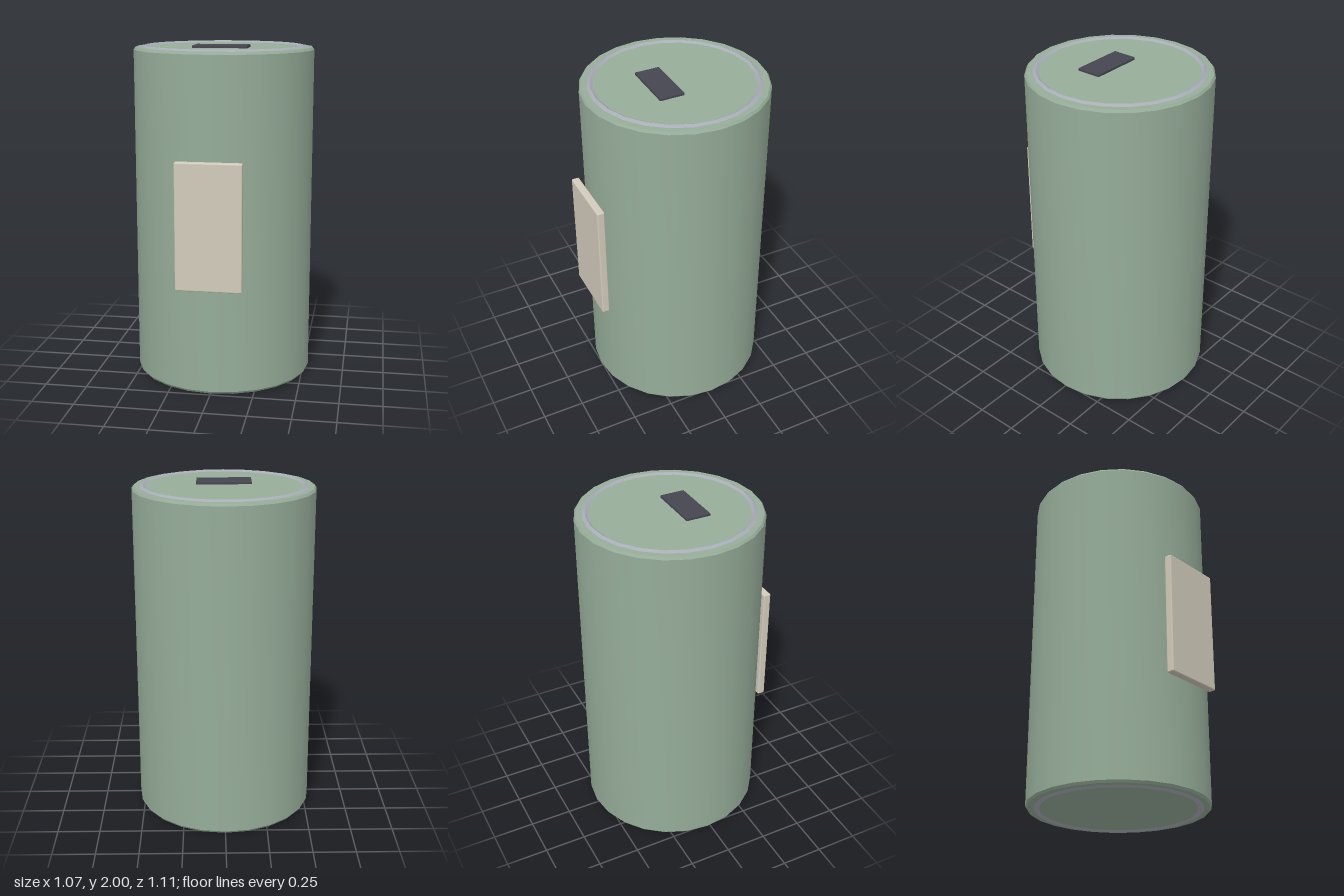
import * as THREE from 'three';
import { toCreasedNormals } from 'three/addons/utils/BufferGeometryUtils.js';
import { RoundedBoxGeometry } from 'three/addons/geometries/RoundedBoxGeometry.js';

function material(name, color) {
  const m = new THREE.MeshStandardMaterial({ color });
  m.name = name;
  return m;
}

export function createModel() {
  const group = new THREE.Group();
  group.name = 'canister';
  const green = material('sage green', 0x96ad99);
  const silver = material('silver grey', 0xa8acb6);
  const cream = material('warm cream', 0xd3ccbc);
  const dark = material('dark slate', 0x464650);

  const add = (name, geometry, mat, x, y, z) => {
    const mesh = new THREE.Mesh(geometry, mat);
    mesh.name = name;
    mesh.position.set(x, y, z);
    group.add(mesh);
  };

  // 24-sided turned parts, smooth around and sharp at the rims
  const turn = (profile) => toCreasedNormals(
    new THREE.LatheGeometry(profile.map(([r, y]) => new THREE.Vector2(r, y)), 24), 0.45);

  const axisZ = -0.022;

  // Body with small chamfers at both ends
  add('body', turn([
    [0, 0.01], [0.523, 0.01], [0.533, 0.024],
    [0.533, 1.971], [0.523, 1.985], [0, 1.985],
  ]), green, 0, 0, axisZ);

  // Raised ridge rings on the two end faces
  add('topRing', turn([[0.492, 1.983], [0.471, 1.995], [0.451, 1.983]]), silver, 0, 0, axisZ);
  add('bottomRing', turn([[0.451, 0.012], [0.471, 0], [0.492, 0.012]]), silver, 0, 0, axisZ);

  // Front plate and the slab on the lid
  add('frontPanel', new RoundedBoxGeometry(0.384, 0.74, 0.046, 2, 0.008), cream, 0, 1.015, 0.531);
  add('lidSlab', new RoundedBoxGeometry(0.322, 0.03, 0.147, 2, 0.004), dark, 0, 1.985, 0.073);

  return group;
}
